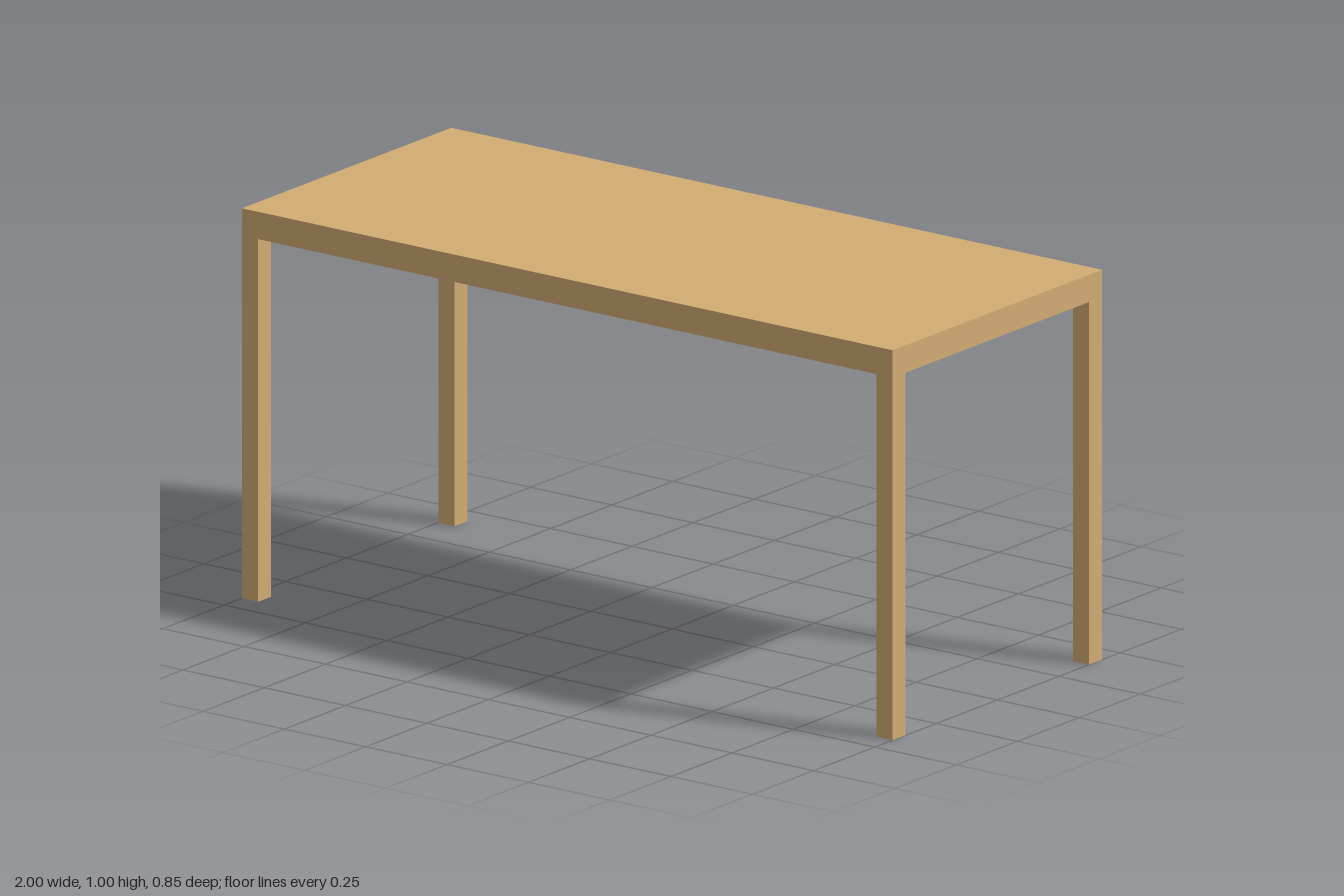
import * as THREE from 'three';

export function createModel() {
  const table = new THREE.Group();
  table.name = 'table';

  const wood = new THREE.MeshStandardMaterial({ color: 0xd2ac73 });
  wood.name = 'light wood';

  const width = 2, depth = 0.854, height = 1;
  const topThickness = 0.07, legWidth = 0.05, legDepth = 0.053;
  const legHeight = height - topThickness;

  const addBox = (name, w, h, d, x, y, z) => {
    const mesh = new THREE.Mesh(new THREE.BoxGeometry(w, h, d), wood);
    mesh.name = name;
    mesh.position.set(x, y, z);
    table.add(mesh);
  };

  // Table top
  addBox('tableTop', width, topThickness, depth, 0, height - topThickness / 2, 0);

  // Four legs, flush with the corners of the top
  for (const [side, sx] of [['Left', 1], ['Right', -1]]) {
    for (const [end, sz] of [['front', 1], ['back', -1]]) {
      addBox(`${end}${side}Leg`, legWidth, legHeight, legDepth,
        sx * (width - legWidth) / 2, legHeight / 2, sz * (depth - legDepth) / 2);
    }
  }

  return table;
}
